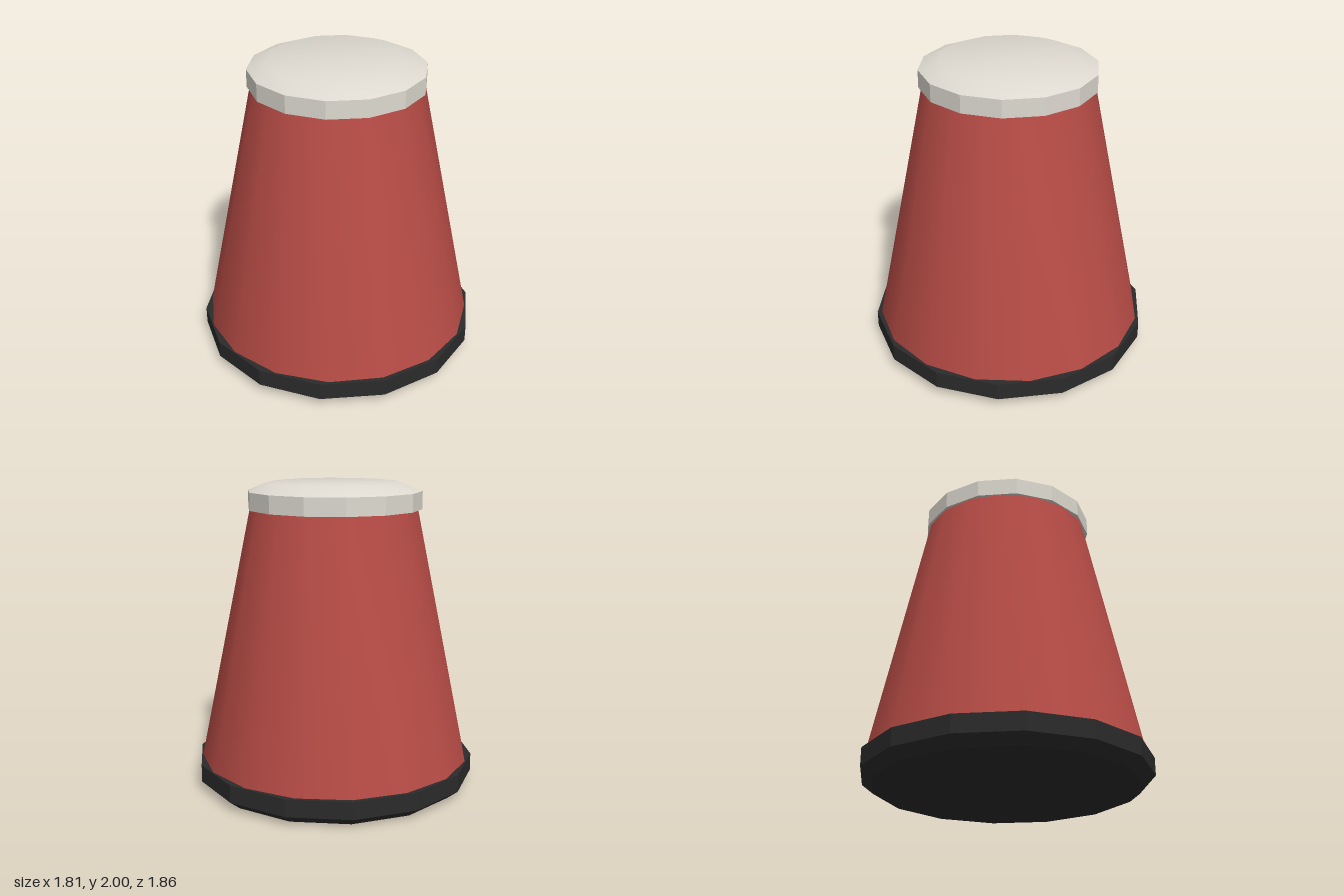
import * as THREE from 'three';
import { toCreasedNormals } from 'three/addons/utils/BufferGeometryUtils.js';

const red = new THREE.MeshStandardMaterial({ color: 0xb84c46 });
red.name = 'red';
const black = new THREE.MeshStandardMaterial({ color: 0x2b2b2b });
black.name = 'black';
const ivory = new THREE.MeshStandardMaterial({ color: 0xdedad1 });
ivory.name = 'ivory';

// Turned part from a bottom-to-top [radius, y] profile
function turned(name, profile, sides, material) {
  const points = profile.map(([r, y]) => new THREE.Vector2(r, y));
  // crease just under the angle between neighbouring facets of 14 sides
  const geometry = toCreasedNormals(new THREE.LatheGeometry(points, sides), 0.43);
  const mesh = new THREE.Mesh(geometry, material);
  mesh.name = name;
  return mesh;
}

export function createModel() {
  const model = new THREE.Group();
  model.name = 'taperedBumper';

  // Faceted foot with a chamfered underside
  model.add(turned('base', [[0, 0], [0.855, 0], [0.93, 0.06], [0.93, 0.175], [0, 0.175]], 14, black));

  // Smooth tapered body
  model.add(turned('body', [[0.9, 0.17], [0.55, 1.84]], 16, red));

  // Faceted cap with a softly bevelled top
  model.add(turned('cap', [[0, 1.83], [0.57, 1.83], [0.57, 1.945], [0.43, 2], [0, 2]], 14, ivory));

  return model;
}
